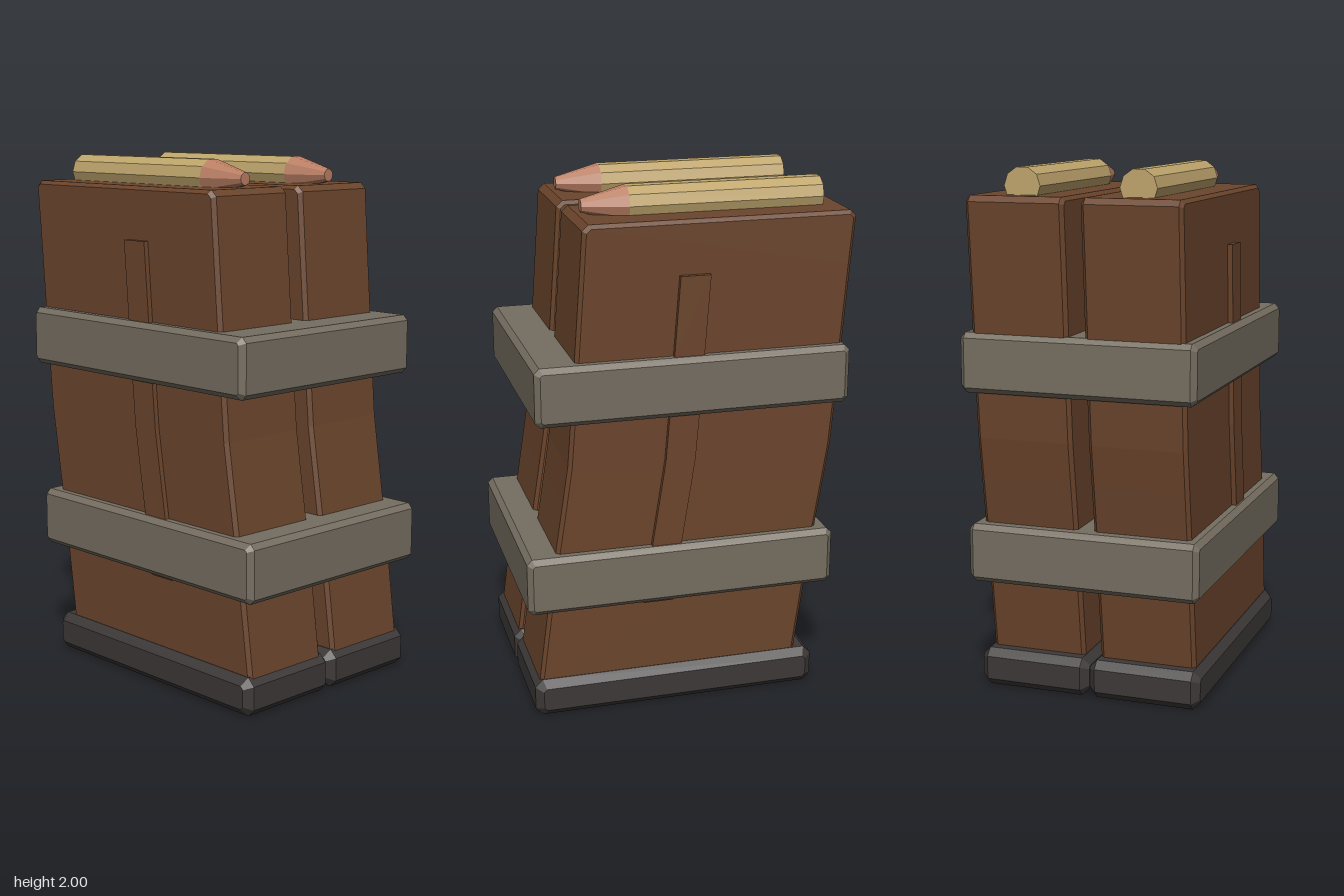
import * as THREE from 'three';

const mat = (name, color) => {
  const m = new THREE.MeshStandardMaterial({ color });
  m.name = name;
  return m;
};

// Extrudes a front outline along z, centred on z = 0, with chamfered front and back edges
function slab(points, depth, bevel) {
  const shape = new THREE.Shape(points.map(([x, y]) => new THREE.Vector2(x, y)));
  const geo = new THREE.ExtrudeGeometry(shape, {
    depth: depth - 2 * bevel, bevelEnabled: bevel > 0, bevelThickness: bevel,
    bevelSize: bevel, bevelOffset: -bevel, bevelSegments: 1,
  });
  return geo.translate(0, 0, -depth / 2 + bevel);
}

// Box with all edges chamfered
function chamferBox(x0, x1, y0, y1, depth, c) {
  return slab([
    [x0 + c, y0], [x1 - c, y0], [x1, y0 + c], [x1, y1 - c],
    [x1 - c, y1], [x0 + c, y1], [x0, y1 - c], [x0, y0 + c],
  ], depth, c);
}

// Curved centre line of a magazine: [x, y] from bottom to top
const SPINE = [[0.078, 0.1], [0.034, 0.43], [0, 0.66], [-0.03, 0.85], [-0.053, 1.0],
  [-0.068, 1.18], [-0.085, 1.4], [-0.108, 1.7], [-0.123, 1.9]];

export function createModel() {
  const model = new THREE.Group();
  const brown = mat('brown polymer', 0x6b452c);
  const grey = mat('grey strap', 0x756d60);
  const dark = mat('dark base', 0x3d3838);
  const brass = mat('brass', 0xbfa56c);
  const copper = mat('copper', 0xb87d62);

  const add = (parent, name, geo, material) => {
    const mesh = new THREE.Mesh(geo, material);
    mesh.name = name;
    parent.add(mesh);
    return mesh;
  };

  // Body outline with small cut corners at the top
  const half = 0.513, cut = 0.022;
  const right = SPINE.map(([x, y]) => [x + half, y]);
  const left = SPINE.map(([x, y]) => [x - half, y]).reverse();
  const [rx, top] = right.pop();
  const [lx] = left.shift();
  const outline = [...right, [rx + 0.002, top - cut], [rx - cut, top],
    [lx + cut, top], [lx, top - cut], ...left];

  // Raised rib following the same curve
  const ribLine = SPINE.slice(1, 8).map(([x, y]) => [x + 0.09, y]);
  const rib = [...ribLine.map(([x, y]) => [x + 0.057, y]),
    ...ribLine.map(([x, y]) => [x - 0.057, y]).reverse()];

  // Two magazines, each with a base plate and a cartridge on top
  for (const side of [1, -1]) {
    const magazine = new THREE.Group();
    magazine.name = side > 0 ? 'frontMagazine' : 'backMagazine';
    magazine.position.z = side * 0.221;
    model.add(magazine);
    add(magazine, 'body', slab(outline, 0.378, 0.014), brown);
    add(magazine, 'rib', slab(rib, 0.416, 0), brown);
    add(magazine, 'basePlate', chamferBox(-0.507, 0.607, 0, 0.148, 0.44, 0.029), dark);

    const round = new THREE.Group();
    round.name = 'cartridge';
    round.position.y = 1.933;
    round.rotation.z = -Math.PI / 2;
    magazine.add(round);
    const brassGeo = new THREE.CylinderGeometry(0.07, 0.07, 0.74, 10).toNonIndexed();
    brassGeo.computeVertexNormals();
    add(round, 'case', brassGeo, brass).position.y = -0.18;
    const tipGeo = new THREE.CylinderGeometry(0.024, 0.07, 0.17, 10).toNonIndexed();
    tipGeo.computeVertexNormals();
    add(round, 'bullet', tipGeo, copper).position.y = 0.275;
  }

  // Straps holding the pair together
  add(model, 'upperStrap', chamferBox(-0.615, 0.585, 1.175, 1.4, 0.91, 0.02), grey);
  add(model, 'lowerStrap', chamferBox(-0.57, 0.63, 0.437, 0.662, 0.91, 0.02), grey);
  return model;
}
